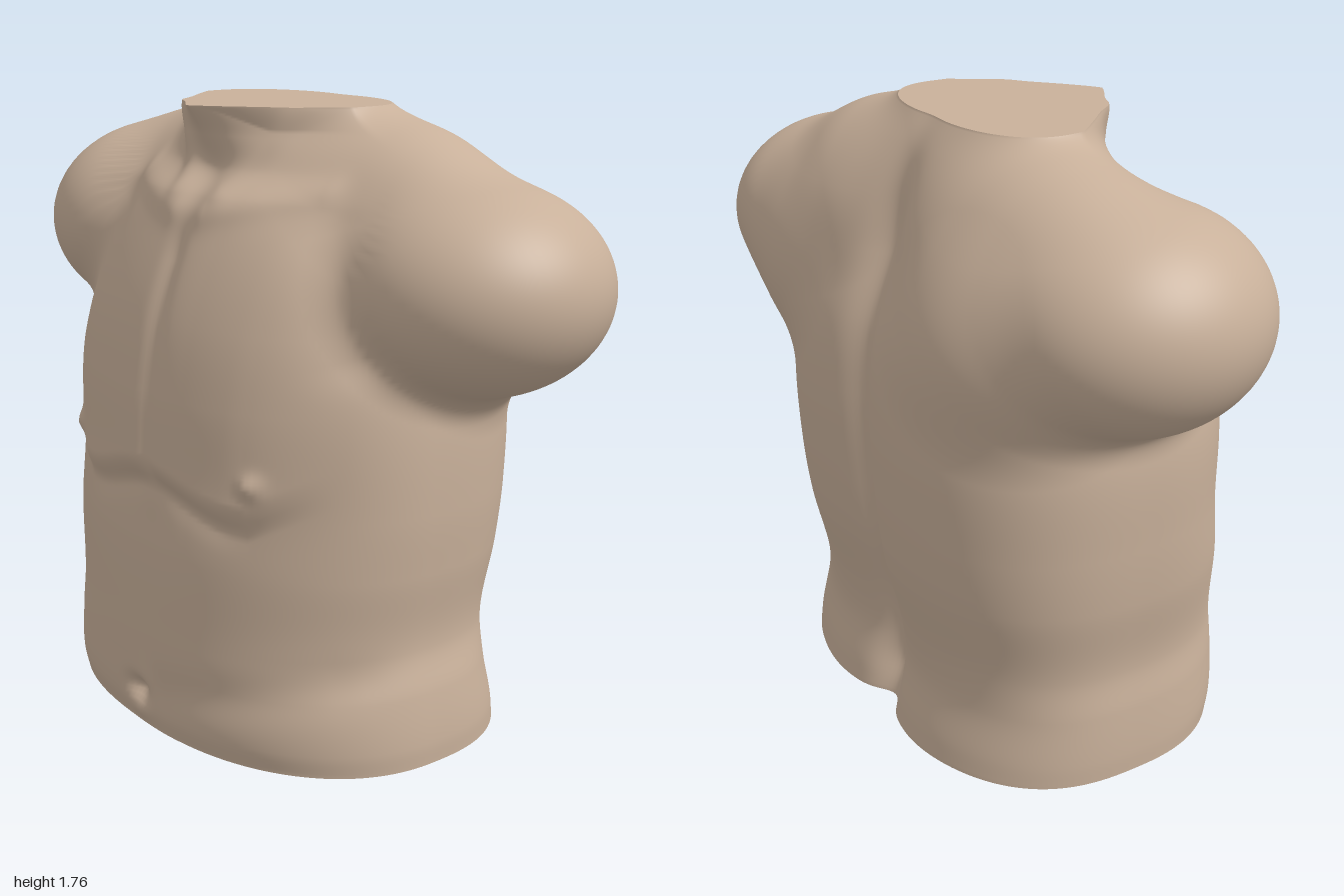
import * as THREE from 'three';

const TOP = 1.76, AXIS_X = -0.03;

// Trunk and neck sections: height, then right, left, front, back reach and front squareness
const SECTIONS = [
  [0.00, 0.68, 0.70, 0.505, 0.49, 2.5],
  [0.06, 0.68, 0.70, 0.520, 0.48, 2.5],
  [0.20, 0.67, 0.68, 0.520, 0.45, 2.5],
  [0.32, 0.655, 0.65, 0.515, 0.46, 2.5],
  [0.55, 0.685, 0.67, 0.500, 0.51, 2.5],
  [0.72, 0.695, 0.68, 0.475, 0.53, 2.5],
  [1.00, 0.69, 0.67, 0.470, 0.54, 2.5],
  [1.20, 0.64, 0.63, 0.440, 0.52, 2.5],
  [1.40, 0.57, 0.57, 0.370, 0.45, 2.4],
  [1.52, 0.50, 0.50, 0.310, 0.40, 2.1],
  [1.60, 0.42, 0.42, 0.245, 0.36, 1.8],
  [1.68, 0.37, 0.36, 0.260, 0.31, 1.4],
  [1.76, 0.35, 0.32, 0.310, 0.25, 1.15],
];
const sectionAt = new THREE.CubicInterpolant(
  SECTIONS.map(s => s[0]), SECTIONS.flatMap(s => s.slice(1)), 5);

// Upper arm stumps, trapezius, neck slopes and shoulder blades: centre, radii
const MASSES = [
  [[-0.64, 1.355, -0.02], [0.355, 0.30, 0.37]],
  [[0.635, 1.315, -0.14], [0.365, 0.285, 0.355]],
  [[-0.35, 1.41, -0.10], [0.42, 0.285, 0.31]],
  [[0.27, 1.41, -0.15], [0.42, 0.285, 0.31]],
  [[-0.34, 1.53, -0.09], [0.34, 0.19, 0.21]],
  [[0.26, 1.53, -0.12], [0.34, 0.19, 0.21]],
  [[-0.40, 1.24, -0.19], [0.33, 0.31, 0.31]],
  [[0.41, 1.24, -0.20], [0.34, 0.31, 0.32]],
];

const gauss = (d, s) => Math.exp(-(d * d) / (2 * s * s));
const step = (v, a, b) => THREE.MathUtils.smoothstep(v, a, b);
const blob = (x, y, cx, cy, sx, sy) => gauss(x - cx, sx) * gauss(y - cy, sy);

// Soft line between two points, seen from the front
function stroke(x, y, ax, ay, bx, by, s) {
  const dx = bx - ax, dy = by - ay;
  const t = THREE.MathUtils.clamp(((x - ax) * dx + (y - ay) * dy) / (dx * dx + dy * dy), 0, 1);
  return gauss(Math.hypot(x - ax - t * dx, y - ay - t * dy), s);
}

function smoothMin(a, b, k) {
  const h = Math.max(k - Math.abs(a - b), 0) / k;
  return Math.min(a, b) - h * h * k / 4;
}

// Muscle relief on the chest and belly
function frontRelief(x, y) {
  const u = x - 0.01, m = Math.abs(u);
  // Pectorals with a rounded lower edge
  const edge = 0.765 - 0.06 * step(m, 0.02, 0.32) + 0.6 * Math.max(0, m - 0.36);
  const t = y - edge;
  let d = 0.042 * step(t, -0.055, 0.055) * Math.exp(-Math.max(t, 0) / 0.4) * (1 - step(m, 0.3, 0.56));
  d -= 0.007 * gauss(t + 0.035, 0.03) * (1 - step(m, 0.25, 0.42));
  // Breastbone and belly midline
  d -= 0.016 * gauss(u, 0.025) * step(y, 0.72, 0.82) * (1 - step(y, 1.35, 1.5));
  d -= 0.006 * gauss(u, 0.035) * step(y, 0.1, 0.25) * (1 - step(y, 0.6, 0.72));
  // Nipples
  d += 0.02 * (blob(x, y, -0.43, 0.81, 0.02, 0.022) + blob(x, y, 0.39, 0.81, 0.02, 0.022));
  // Navel
  d += -0.04 * blob(x, y, -0.035, 0.1, 0.035, 0.025) + 0.008 * blob(x, y, -0.02, 0.045, 0.03, 0.02);
  // Abdominal crease on the left
  d -= 0.012 * stroke(x, y, 0.1, 0.13, 0.55, 0.25, 0.05);
  for (const s of [-1, 1]) {
    // Collarbone, groove beside the deltoid, neck tendon
    d += 0.013 * stroke(u * s, y, 0.07, 1.49, 0.36, 1.56, 0.03);
    d -= 0.012 * stroke(u * s, y, 0.42, 1.46, 0.55, 1.16, 0.05);
    d += 0.016 * stroke(u * s, y, 0.09, 1.55, 0.2, 1.76, 0.028);
  }
  // Hollow of the throat
  return d - 0.02 * blob(x, y, 0, 1.56, 0.04, 0.04);
}

// Spine furrow
function backRelief(x, y) {
  const fade = 1 - 0.85 * step(y, 1.4, 1.74);
  return -fade * (0.04 * gauss(x + 0.04, 0.045) + 0.045 * gauss(x + 0.04, 0.12))
    - 0.02 * blob(x, y, -0.04, 0.1, 0.04, 0.05);
}

// Signed field of the whole body, negative inside
function field(x, y, z) {
  const [right, left, front, back, square] = sectionAt.evaluate(y);
  const dx = x - AXIS_X;
  // The left of the chest is flatter across its corner than the right
  const n = z > 0 ? Math.max(1.15, square * (1 - 0.14 * step(dx, 0, 0.2))) : 2.6;
  const norm = (Math.abs(dx / (dx < 0 ? right : left)) ** n
    + Math.abs(z / (z > 0 ? front : back)) ** n) ** (1 / n);
  let f = Math.hypot(dx, z) * (1 - 1 / Math.max(norm, 1e-3));
  for (const [c, r] of MASSES) {
    const q = Math.hypot((x - c[0]) / r[0], (y - c[1]) / r[1], (z - c[2]) / r[2]);
    f = smoothMin(f, (q - 1) * Math.min(...r), 0.09);
  }
  const ahead = step(z, 0.02, 0.18), behind = step(-z, 0.05, 0.2);
  if (ahead > 0) f -= ahead * frontRelief(x, y);
  if (behind > 0) f -= behind * backRelief(x, y);
  return f;
}

// Outermost surface radius along a horizontal ray from the body axis
function reach(y, c, s) {
  const at = r => field(AXIS_X + r * c, y, r * s);
  let r = 1.16;
  while (r > 0.04 && at(r) > 0) r -= 0.02;
  let lo = r, hi = r + 0.02;
  for (let i = 0; i < 12; i++) {
    const mid = (lo + hi) / 2;
    if (at(mid) > 0) hi = mid; else lo = mid;
  }
  return lo;
}

function buildSkin(rows, cols) {
  const pos = [], nor = [], idx = [], e = 0.004, n = new THREE.Vector3();
  for (let i = 0; i <= rows; i++) {
    // Rows gather towards the top, where the shoulders flatten
    const t = i / rows, y = TOP * (1.4 * t - 0.4 * t * t);
    for (let j = 0; j < cols; j++) {
      const a = j / cols * Math.PI * 2, c = Math.cos(a), s = Math.sin(a), r = reach(y, c, s);
      const x = AXIS_X + r * c, z = r * s;
      n.set(field(x + e, y, z) - field(x - e, y, z),
        field(x, y + e, z) - field(x, y - e, z),
        field(x, y, z + e) - field(x, y, z - e)).normalize();
      pos.push(x, y, z);
      nor.push(n.x, n.y, n.z);
      if (i < rows) {
        const k = (j + 1) % cols, p = i * cols;
        idx.push(p + j, p + cols + j, p + k, p + k, p + cols + j, p + cols + k);
      }
    }
  }
  const g = new THREE.BufferGeometry();
  g.setAttribute('position', new THREE.Float32BufferAttribute(pos, 3));
  g.setAttribute('normal', new THREE.Float32BufferAttribute(nor, 3));
  g.setIndex(idx);
  return { geometry: g, pos };
}

// Flat cut closing one end ring
function buildCap(ring, up) {
  const cols = ring.length / 3, idx = [];
  for (let j = 0; j < cols; j++) {
    const k = (j + 1) % cols;
    idx.push(cols, up ? k : j, up ? j : k);
  }
  const g = new THREE.BufferGeometry();
  g.setAttribute('position', new THREE.Float32BufferAttribute([...ring, AXIS_X, ring[1], 0], 3));
  g.setIndex(idx);
  g.computeVertexNormals();
  return g;
}

export function createModel() {
  const group = new THREE.Group();
  group.name = 'torso';
  const material = new THREE.MeshStandardMaterial({ color: 0xc8b09a });
  const add = (name, geometry) => {
    const mesh = new THREE.Mesh(geometry, material);
    mesh.name = name;
    group.add(mesh);
  };
  const cols = 220, skin = buildSkin(190, cols);
  add('body', skin.geometry);
  add('waistCut', buildCap(skin.pos.slice(0, cols * 3), false));
  add('neckCut', buildCap(skin.pos.slice(-cols * 3), true));
  return group;
}
